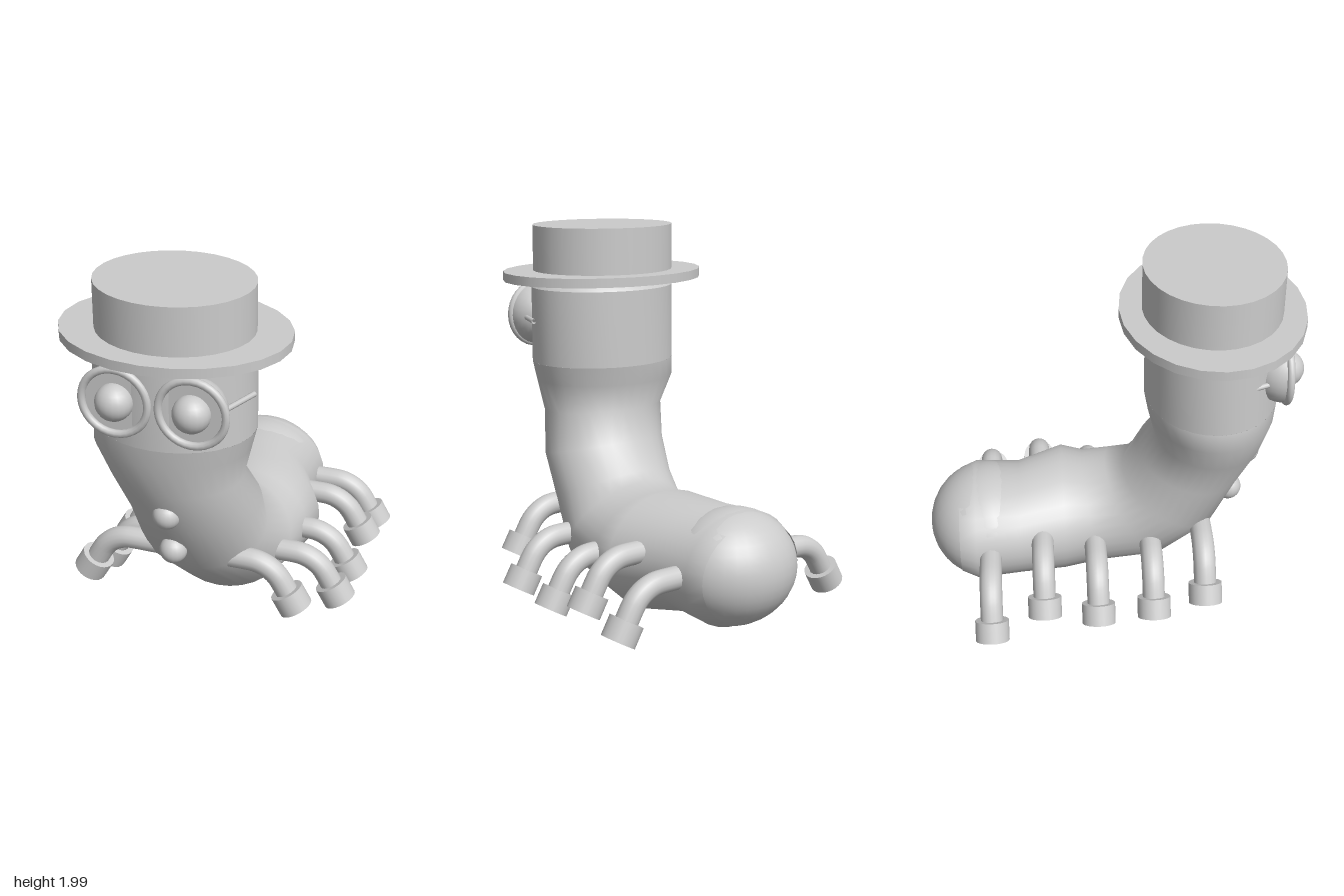
import * as THREE from 'three';
import { toCreasedNormals } from 'three/addons/utils/BufferGeometryUtils.js';

const material = new THREE.MeshStandardMaterial({ color: 0xcccccc, side: THREE.DoubleSide });

function add(parent, name, geometry, x = 0, y = 0, z = 0) {
  const mesh = new THREE.Mesh(geometry, material);
  mesh.name = name;
  mesh.position.set(x, y, z);
  parent.add(mesh);
  return mesh;
}

// Closed elliptical rings: [x min, x max, back/top y, z, front/bottom y, z]
function loft(rings, sides = 32) {
  const positions = [], index = [];
  rings.forEach(([x0, x1, ya, za, yb, zb], i) => {
    for (let j = 0; j < sides; j++) {
      const t = (j / sides) * Math.PI * 2, c = Math.cos(t), s = Math.sin(t);
      positions.push(
        (x0 + x1) / 2 + (c * (x1 - x0)) / 2,
        (ya + yb) / 2 + (s * (yb - ya)) / 2,
        (za + zb) / 2 + (s * (zb - za)) / 2);
      if (i === rings.length - 1) continue;
      const a = i * sides + j, b = i * sides + ((j + 1) % sides);
      index.push(a, b, a + sides, b, b + sides, a + sides);
    }
  });
  const geometry = new THREE.BufferGeometry();
  geometry.setAttribute('position', new THREE.Float32BufferAttribute(positions, 3));
  geometry.setIndex(index);
  geometry.computeVertexNormals();
  return geometry;
}

// Curved leg with a cylindrical foot; reach is the outermost x of the foot
function makeLeg(side, reach, y, z) {
  const leg = new THREE.Group();
  leg.name = side > 0 ? 'leftLeg' : 'rightLeg';
  const bendX = reach - 0.335, R = 0.2, tilt = Math.PI / 3;
  const points = [new THREE.Vector3(bendX - 0.18, 0, 0), new THREE.Vector3(bendX - 0.09, 0, 0)];
  for (let i = 0; i <= 6; i++) {
    const a = (tilt * i) / 6;
    points.push(new THREE.Vector3(bendX + R * Math.sin(a), -R * (1 - Math.cos(a)), 0));
  }
  const end = points[points.length - 1];
  const down = new THREE.Vector3(Math.cos(tilt), -Math.sin(tilt), 0);
  points.push(end.clone().addScaledVector(down, 0.08));
  add(leg, 'legTube', new THREE.TubeGeometry(new THREE.CatmullRomCurve3(points), 24, 0.06, 16));
  const middle = end.clone().addScaledVector(down, 0.117);
  const foot = add(leg, 'foot', new THREE.CylinderGeometry(0.09, 0.09, 0.11, 24), middle.x, middle.y, 0);
  foot.rotation.z = Math.PI / 2 - tilt;
  leg.position.set(0, y, z);
  if (side < 0) leg.rotation.y = Math.PI;
  return leg;
}

export function createModel() {
  const model = new THREE.Group();
  model.name = 'caterpillar';

  // Bent body and rounded tail
  add(model, 'body', loft([
    [-0.51, 0.325, 1.245, 0.18, 1.245, 0.88],
    [-0.52, 0.3, 1.14, 0.2, 1.14, 0.865],
    [-0.44, 0.26, 0.99, 0.235, 0.95, 0.82],
    [-0.385, 0.325, 0.83, 0.155, 0.7, 0.72],
    [-0.365, 0.325, 0.68, 0.075, 0.41, 0.59],
    [-0.32, 0.41, 0.65, -0.02, 0.13, 0.31],
    [-0.275, 0.435, 0.62, -0.145, 0.05, -0.04],
    [-0.305, 0.465, 0.655, -0.256, 0.01, -0.256],
    [-0.345, 0.35, 0.625, -0.5, 0.045, -0.5],
    [-0.37, 0.36, 0.637, -0.74, 0.03, -0.74],
    [-0.33, 0.32, 0.6, -0.83, 0.07, -0.83]]));
  add(model, 'tail', new THREE.SphereGeometry(1, 32, 20), -0.005, 0.335, -0.68).scale.set(0.355, 0.305, 0.32);

  // Head with a chamfered top
  const profile = [[0, 1.7], [0.92, 1.7], [1, 1.66], [1, 1.245]].reverse().map(p => new THREE.Vector2(...p));
  add(model, 'head', toCreasedNormals(new THREE.LatheGeometry(profile, 32), 0.6), -0.0925, 0, 0.53)
    .scale.set(0.417, 1, 0.35);

  // Hat
  const hat = new THREE.Group();
  hat.name = 'hat';
  hat.position.set(-0.09, 0, 0.52);
  model.add(hat);
  add(hat, 'brim', new THREE.CylinderGeometry(1, 1, 0.05, 24), 0, 1.725, 0).scale.set(0.587, 1, 0.475);
  add(hat, 'crown', new THREE.CylinderGeometry(1, 1, 0.26, 32), 0, 1.87, 0).scale.set(0.403, 1, 0.358);

  // Goggle eyes with short side arms
  for (const side of [-1, 1]) {
    const eye = new THREE.Group();
    eye.name = side > 0 ? 'leftEye' : 'rightEye';
    eye.position.set(-0.076 + side * 0.196, 1.48, 0.87);
    model.add(eye);
    const dome = new THREE.SphereGeometry(0.175, 28, 10, 0, Math.PI * 2, 0, Math.PI / 2);
    add(eye, 'dome', dome.rotateX(-Math.PI / 2));
    add(eye, 'lens', new THREE.CircleGeometry(0.175, 28));
    add(eye, 'rim', new THREE.TorusGeometry(0.17, 0.02, 10, 32), 0, 0, 0.01);
    add(eye, 'pupil', new THREE.SphereGeometry(0.095, 20, 14), 0, 0, 0.01);
    const arm = new THREE.LineCurve3(
      new THREE.Vector3(side * 0.13, -0.005, -0.08), new THREE.Vector3(side * 0.215, 0, -0.285));
    add(eye, 'arm', new THREE.TubeGeometry(arm, 1, 0.014, 8));
  }

  // Chest buttons
  for (const [y, z] of [[0.81, 0.745], [0.555, 0.66]])
    add(model, 'button', new THREE.SphereGeometry(0.073, 20, 14), -0.07, y, z);

  // Five pairs of legs: [y, z, left reach, right reach]
  for (const [y, z, left, right] of [
    [0.46, 0.485, 0.62, 0.705], [0.37, 0.21, 0.79, 0.705], [0.34, -0.09, 0.79, 0.705],
    [0.405, -0.38, 0.79, 0.705], [0.34, -0.665, 0.79, 0.8]])
    model.add(makeLeg(1, left, y, z), makeLeg(-1, right, y, z));

  return model;
}
